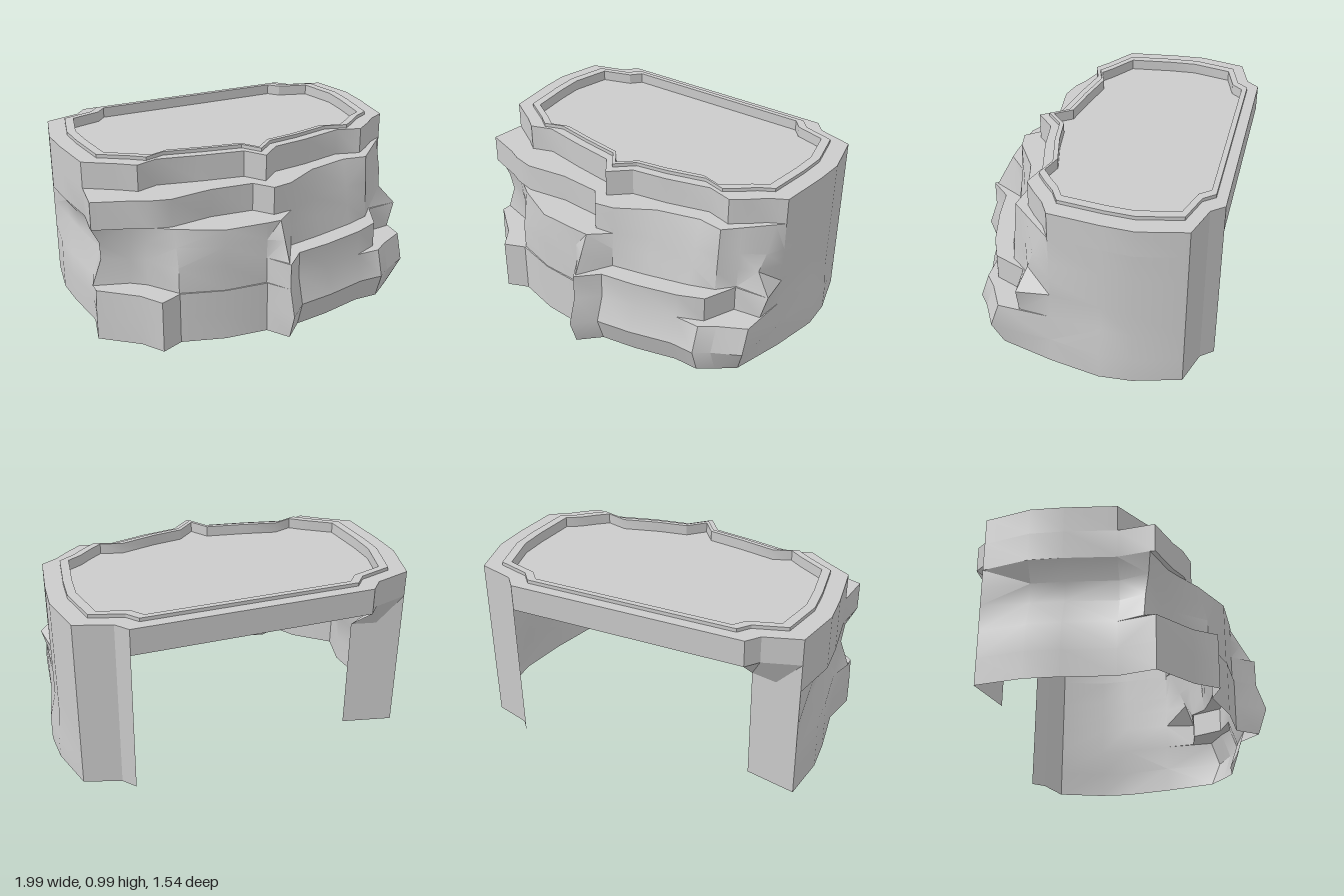
import * as THREE from 'three';
import { toCreasedNormals } from 'three/addons/utils/BufferGeometryUtils.js';

const material = new THREE.MeshStandardMaterial({ color: 0xcccccc, side: THREE.DoubleSide });

// Skins a stack of rings (arrays of Vector3); closed rings also join their ends.
function loft(name, rings, closed) {
  const pos = [];
  const tri = (...corners) => {
    if (new THREE.Triangle(...corners).getArea() > 1e-7) corners.forEach(p => pos.push(p.x, p.y, p.z));
  };
  for (let r = 0; r < rings.length - 1; r++) {
    const low = rings[r], high = rings[r + 1], n = low.length;
    for (let c = 0; c < (closed ? n : n - 1); c++) {
      const d = (c + 1) % n;
      // Split each quad along its shorter diagonal
      if (low[c].distanceTo(high[d]) < low[d].distanceTo(high[c])) {
        tri(low[c], low[d], high[d]);
        tri(low[c], high[d], high[c]);
      } else {
        tri(low[c], low[d], high[c]);
        tri(low[d], high[d], high[c]);
      }
    }
  }
  const geometry = new THREE.BufferGeometry();
  geometry.setAttribute('position', new THREE.Float32BufferAttribute(pos, 3));
  const mesh = new THREE.Mesh(toCreasedNormals(geometry, 0.55), material);
  mesh.name = name;
  return mesh;
}

// Plan of one flank from back to front; the other is its mirror image
const rightFlank = [[-0.68, -0.77], [-0.74, -0.70], [-0.94, -0.64], [-1.0, -0.38], [-0.99, -0.2], [-0.955, 0.08]];
const leftFlank = rightFlank.map(([x, z]) => [-x - 0.035, z]).reverse();
// Below the cap the right flank's back end turns inward
const rightFoot = [[-0.66, -0.58], [-0.80, -0.61], ...rightFlank.slice(2)];

// Craggy front: x of the columns, and their depth on each main contour
const frontX = [-0.98, -0.78, -0.70, -0.58, -0.34, -0.10, -0.02, 0.09, 0.29, 0.53, 0.67, 0.75, 0.90];
const base = [0.28, 0.44, 0.56, 0.51, 0.58, 0.60, 0.72, 0.61, 0.58, 0.52, 0.52, 0.46, 0.38];
const middle = [0.22, 0.28, 0.34, 0.50, 0.575, 0.59, 0.72, 0.61, 0.58, 0.52, 0.46, 0.28, 0.26];
const shelf = [0.22, 0.28, 0.34, 0.50, 0.575, 0.59, 0.70, 0.51, 0.47, 0.41, 0.36, 0.27, 0.26];
const upper = [0.28, 0.35, 0.39, 0.42, 0.39, 0.41, 0.51, 0.49, 0.37, 0.31, 0.33, 0.25, 0.12];
const capZ = [0.165, 0.19, 0.25, 0.21, 0.26, 0.30, 0.41, 0.31, 0.28, 0.22, 0.26, 0.20, 0.13];

// Base bulges at mid height; the boulder (columns 4 and 5) stays upright up to its flat top
const bulged = base.map((z, i) => (i > 5 ? z + 0.05 : z));
const rise = t => shelf.map((z, i) => (i === 4 || i === 5 ? z : THREE.MathUtils.lerp(z, upper[i], t)));
const boulderTop = rise(0.57);
const aboveBoulder = boulderTop.map((z, i) => (i < 7 ? upper[i] : z));

// One cliff level: dent of the right flank, swell of the left one, shift of the last column
function cliffRing(y, dent, swell, lastShift, depths) {
  const right = (y < 0.8 ? rightFoot : rightFlank).map(([x, z], i) =>
    new THREE.Vector3(x + (i > 2 ? dent : 0), y, z));
  const left = leftFlank.map(([x, z], i) =>
    new THREE.Vector3(x + (i < 3 ? swell * (i === 1 ? 1 : 0.4) : 0), y, z));
  const front = depths.map((z, i) => {
    const shift = i === 0 ? Math.max(0, dent - 0.02) : i === 12 ? lastShift : 0;
    return new THREE.Vector3(frontX[i] + shift, y, z);
  });
  return [...right, ...front, ...left];
}

// Cap outline shrunk about its middle and raised to height y
const capFront = capZ.map((z, i) => [THREE.MathUtils.clamp(frontX[i], -0.82, 0.83), z]);
const capRing = (y, s) => [...rightFlank, ...capFront, ...leftFlank].map(([x, z]) =>
  new THREE.Vector3(-0.02 + (x + 0.02) * s, y, -0.18 + (z + 0.18) * s));

export function createModel() {
  const group = new THREE.Group();
  group.name = 'rockPedestal';

  // Cliff shell, open at the back and below, ending in the ledge under the cap
  group.add(loft('cliffWall', [
    cliffRing(0, 0.02, 0.035, -0.05, base),
    cliffRing(0.15, 0.02, 0.035, 0, bulged),
    cliffRing(0.3, 0.025, 0, 0, base),
    cliffRing(0.3, 0.025, 0, 0, middle),
    cliffRing(0.45, 0.08, 0, 0.04, middle),
    cliffRing(0.45, 0.08, 0, 0.04, shelf),
    cliffRing(0.56, 0.07, 0, -0.05, rise(0.3)),
    cliffRing(0.66, 0, 0, -0.03, boulderTop),
    cliffRing(0.66, 0, 0, -0.03, aboveBoulder),
    cliffRing(0.82, 0, 0, -0.02, upper),
    capRing(0.82, 1),
  ], false));

  // Cap band and its top, the thin raised rim, and the sunken floor
  group.add(loft('capBand', [capRing(0.82, 1), capRing(0.97, 1), capRing(0.97, 0.9)], true));
  group.add(loft('rim', [capRing(0.97, 0.9), capRing(0.99, 0.9), capRing(0.99, 0.85), capRing(0.93, 0.85)], true));
  group.add(loft('floor', [capRing(0.93, 0.85), capRing(0.93, 0)], true));

  return group;
}
